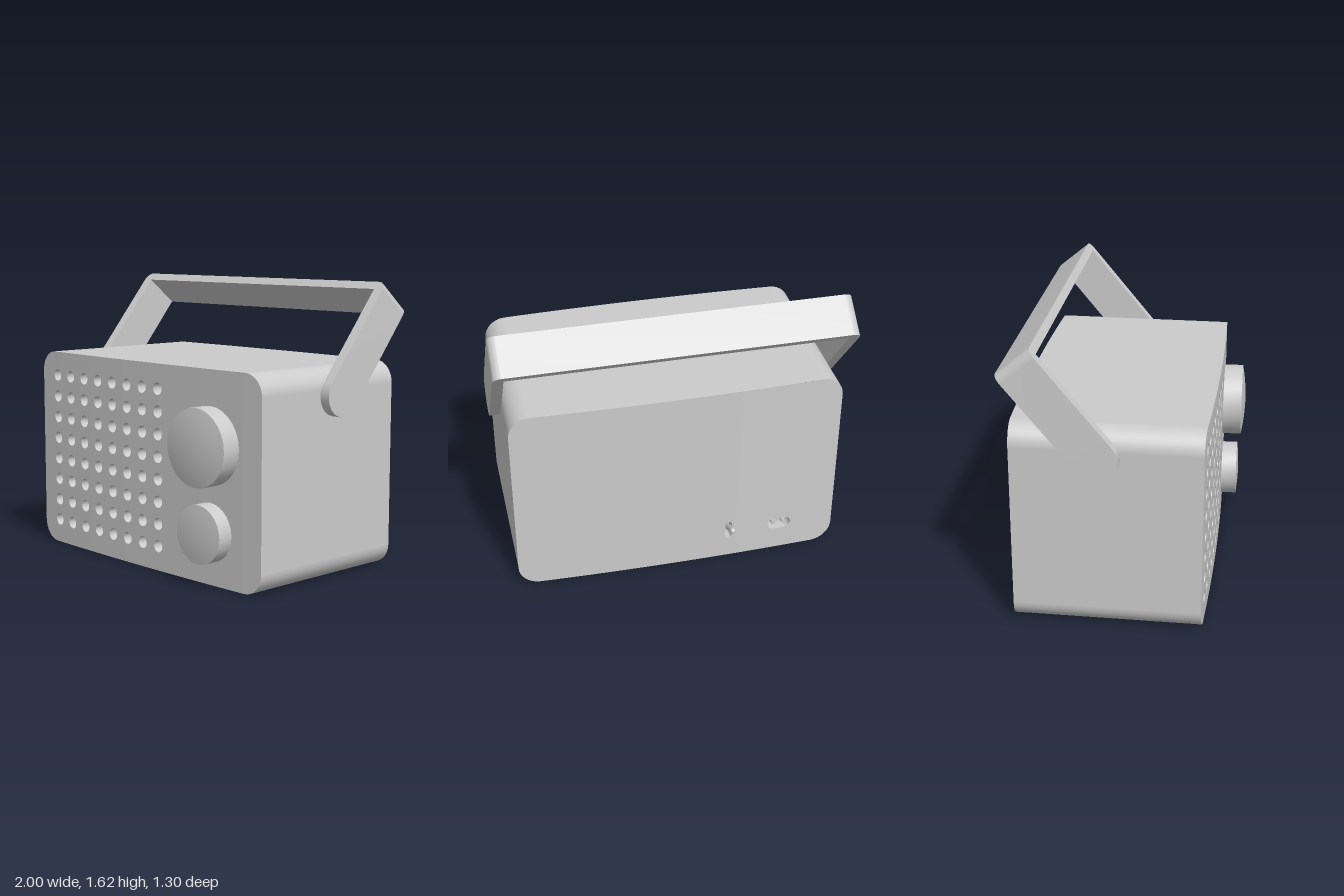
import * as THREE from 'three';
import { mergeGeometries, toCreasedNormals } from 'three/addons/utils/BufferGeometryUtils.js';

const W = 0.94, H = 1.17, R = 0.12; // body half width, height, corner radius
const frontZ = x => 0.525 - 0.022 * (x / W) ** 2;
const backZ = x => 0.55 - 0.022 * (x / W) ** 2;
const mat = new THREE.MeshStandardMaterial({ color: 0xcccccc });

function add(parent, name, geometry) {
  const mesh = new THREE.Mesh(geometry, mat);
  mesh.name = name;
  parent.add(mesh);
  return mesh;
}

// Rounded rectangle, counter-clockwise, with outward normals; flats = samples on level edges
function roundRect(cx, cy, hw, hh, r, seg, flats = 0) {
  const pts = [];
  const put = (x, y, a) => {
    const last = pts[pts.length - 1];
    if (!last || Math.hypot(last.x - x, last.y - y) > 1e-5)
      pts.push({ x, y, nx: Math.cos(a), ny: Math.sin(a) });
  };
  [[1, 1], [-1, 1], [-1, -1], [1, -1]].forEach(([sx, sy], k) => {
    const ox = cx + sx * (hw - r), oy = cy + sy * (hh - r);
    for (let i = 0; i <= seg; i++) {
      const a = (k + i / seg) * Math.PI / 2;
      put(ox + r * Math.cos(a), oy + r * Math.sin(a), a);
    }
    if (k % 2 === 0) for (let i = 1; i <= flats; i++)
      put(ox - sx * 2 * (hw - r) * i / (flats + 1), oy + sy * r, (k + 1) * Math.PI / 2);
  });
  const f = pts[0], l = pts[pts.length - 1];
  if (Math.hypot(f.x - l.x, f.y - l.y) < 1e-5) pts.pop();
  return pts;
}

// Wall that follows a loop between two depths; inward turns it to face the inside
function wall(loop, zA, zB, inward = false) {
  const pos = [], nor = [], idx = [], n = loop.length, s = inward ? -1 : 1;
  loop.forEach((p, i) => {
    pos.push(p.x, p.y, zA(p.x), p.x, p.y, zB(p.x));
    nor.push(s * p.nx, s * p.ny, 0, s * p.nx, s * p.ny, 0);
    const a = 2 * i, b = 2 * ((i + 1) % n);
    if (inward) idx.push(a, b + 1, b, a, a + 1, b + 1);
    else idx.push(a, b, b + 1, a, b + 1, a + 1);
  });
  const g = new THREE.BufferGeometry();
  g.setAttribute('position', new THREE.Float32BufferAttribute(pos, 3));
  g.setAttribute('normal', new THREE.Float32BufferAttribute(nor, 3));
  g.setIndex(idx);
  return g;
}

// Flat shape bent onto a curved face
function bent(shape, zf) {
  const g = new THREE.ShapeGeometry(shape), p = g.attributes.position, n = g.attributes.normal;
  for (let i = 0; i < p.count; i++) {
    const x = p.getX(i), k = 1 / Math.hypot(1, 0.05 * x);
    p.setZ(i, zf(x));
    n.setXYZ(i, 0.05 * x * k, 0, k);
  }
  g.deleteAttribute('uv');
  return g;
}

const vecs = loop => loop.map(p => new THREE.Vector2(p.x, p.y));
const outline = roundRect(0, H / 2, W, H / 2, R, 8, 20);

// Bowed face made of upright strips, with pockets sunk into it
function face(zf, breaks, loops, depth) {
  const parts = [];
  const xs = [...new Set(outline.map(p => +p.x.toFixed(5)))].sort((a, b) => a - b);
  const inset = x => {
    const d = Math.abs(x) - (W - R);
    return d > 0 ? R - Math.sqrt(Math.max(0, R * R - d * d)) : 0;
  };
  for (let i = 0; i + 1 < breaks.length; i++) {
    const a = breaks[i], b = breaks[i + 1];
    const row = [a, ...xs.filter(x => x > a + 1e-4 && x < b - 1e-4), b];
    const shape = new THREE.Shape([
      ...row.map(x => new THREE.Vector2(x, inset(x))),
      ...[...row].reverse().map(x => new THREE.Vector2(x, H - inset(x)))]);
    loops.filter(l => l[0].x > a && l[0].x < b)
      .forEach(l => shape.holes.push(new THREE.Path(vecs(l))));
    parts.push(bent(shape, zf));
  }
  const floor = x => zf(x) - depth;
  for (const l of loops) parts.push(wall(l, floor, zf, true), bent(new THREE.Shape(vecs(l)), floor));
  return mergeGeometries(parts);
}

// Domed dial, its axis along z
function dial(r, h, dome) {
  const pts = [new THREE.Vector2(r, 0), new THREE.Vector2(r, h)];
  for (let i = 1; i <= 6; i++) {
    const t = 1 - i / 6;
    pts.push(new THREE.Vector2(r * t, h + dome * (1 - t * t)));
  }
  return toCreasedNormals(new THREE.LatheGeometry(pts, 28).rotateX(Math.PI / 2), 0.6);
}

export function createModel() {
  const model = new THREE.Group();
  model.name = 'portableRadio';

  // Cabinet
  add(model, 'cabinetShell', wall(outline, x => -backZ(x), frontZ));

  // Front with speaker holes
  const holes = [], breaks = [-W], step = 0.134;
  for (let i = 0; i < 8; i++) {
    const x = -0.79 + i * step;
    breaks.push(x + step / 2);
    for (let j = 0; j < 8; j++) holes.push(roundRect(x, 0.14 + j * 0.127, 0.035, 0.035, 0.035, 4));
  }
  breaks.push(0.35, 0.5, 0.65, 0.8, W);
  add(model, 'speakerFront', face(frontZ, breaks, holes, 0.06));

  // Back with switch slot and socket, built facing front and then turned
  const slot = roundRect(0.3, 0.19, 0.02, 0.06, 0.02, 5);
  const socket = roundRect(0.61, 0.18, 0.07, 0.038, 0.038, 6);
  const backBreaks = [-W, -0.75, -0.6, -0.45, -0.3, -0.15, 0, 0.15, 0.25, 0.4, 0.52, 0.7, 0.8, W];
  add(model, 'backPanel', face(backZ, backBreaks, [slot, socket], 0.06)).rotation.y = Math.PI;

  // Socket pins
  for (const s of [-1, 1]) {
    const pin = add(model, 'socketPin', new THREE.CylinderGeometry(0.013, 0.013, 0.05, 10).rotateX(Math.PI / 2));
    pin.position.set(-0.61 + s * 0.03, 0.18, -0.508);
  }

  // Switch lever
  const lever = add(model, 'switchLever', new THREE.CapsuleGeometry(0.017, 0.15, 5, 12));
  lever.position.set(-0.3, 0.222, -0.567);
  lever.rotation.x = -1.09;

  // Dials, square to the bowed front
  for (const [name, y, r, h, dome] of [
    ['tuningDial', 0.76, 0.215, 0.127, 0.022], ['volumeDial', 0.29, 0.162, 0.107, 0.012]]) {
    const d = add(model, name, dial(r, h, dome));
    d.position.set(0.565, y, 0.5);
    d.rotation.y = 0.028;
  }

  // Handle: U-shaped strap with round pivots, tipped back
  const handle = new THREE.Group();
  handle.name = 'handle';
  const top = 0.675, c = 0.05, hw = 0.117;
  const strap = new THREE.Shape();
  strap.moveTo(W, 0).lineTo(1, 0).lineTo(1, top - c);
  strap.absarc(1 - c, top - c, c, 0, Math.PI / 2);
  strap.absarc(c - 1, top - c, c, Math.PI / 2, Math.PI);
  strap.lineTo(-1, 0).lineTo(-W, 0).lineTo(-W, top - 0.05).lineTo(W, top - 0.05);
  const strapGeo = new THREE.ExtrudeGeometry(strap, { depth: 2 * hw, bevelEnabled: false, curveSegments: 6 });
  add(handle, 'handleStrap', toCreasedNormals(strapGeo.translate(0, 0, -hw), 0.6));
  for (const s of [-1, 1]) {
    const end = new THREE.CylinderGeometry(hw, hw, 1 - W, 12, 1, false, Math.PI, Math.PI);
    add(handle, 'handlePivot', end.rotateZ(Math.PI / 2).translate(s * (1 + W) / 2, 0, 0));
  }
  handle.position.set(0, 1.02, -0.054);
  handle.rotation.x = -0.69;
  model.add(handle);

  return model;
}
